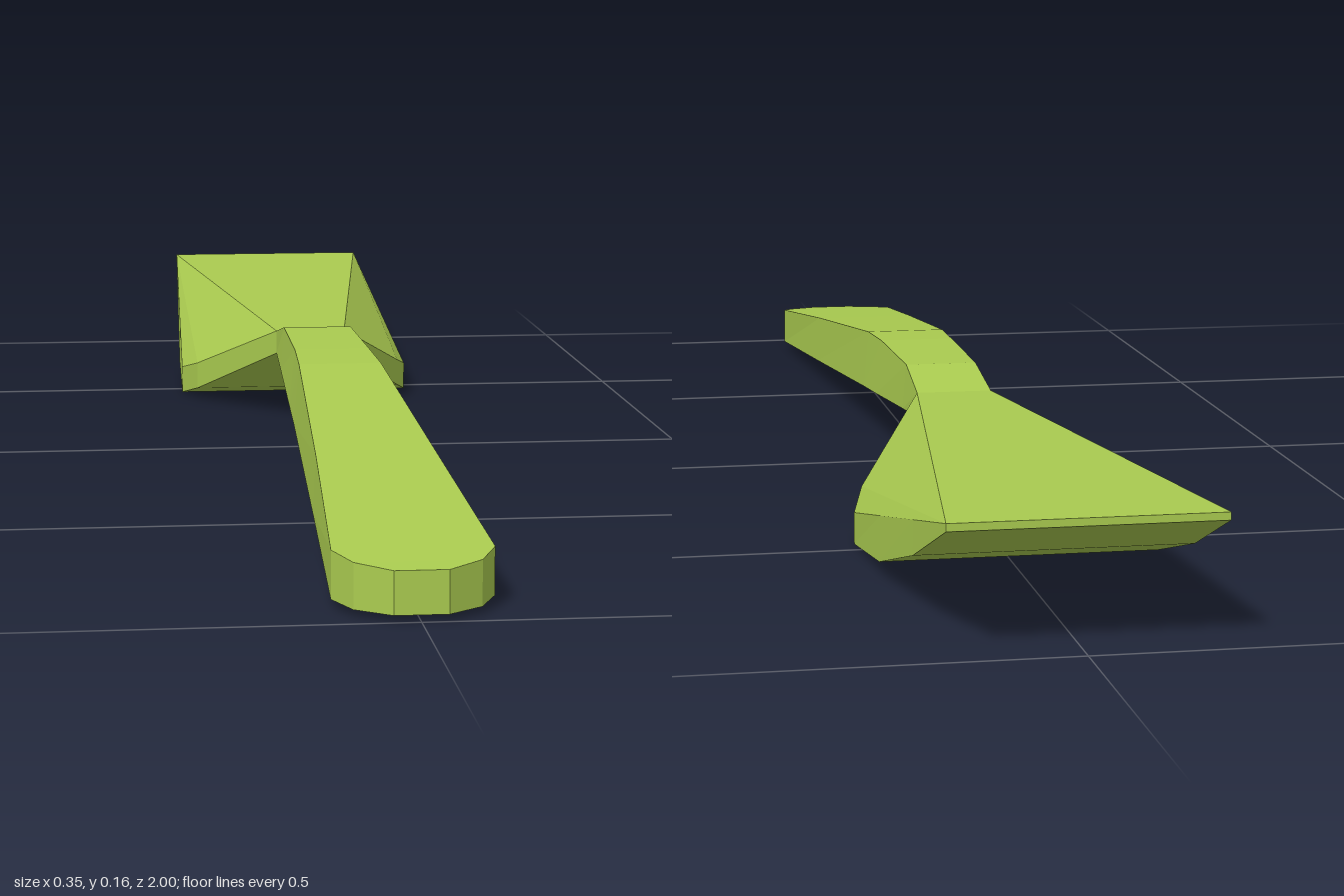
import * as THREE from 'three';

const material = new THREE.MeshStandardMaterial({ color: 0xaacb50, flatShading: true });
const mirror = ([x, y, z]) => [-x, y, z];

// Collects faces; sideFace adds a polygon together with its mirror image
class Faces {
  constructor() { this.positions = []; }
  face(...p) {
    for (let i = 1; i < p.length - 1; i++) this.positions.push(...p[0], ...p[i], ...p[i + 1]);
  }
  sideFace(...p) {
    this.face(...p);
    this.face(...p.map(mirror).reverse());
  }
  // Side walls between a lower and an upper edge
  walls(low, high) {
    for (let i = 0; i < low.length - 1; i++) this.sideFace(low[i], low[i + 1], high[i + 1], high[i]);
  }
  // Strip across from an edge to its mirror image
  span(edge, up) {
    for (let i = 0; i < edge.length - 1; i++) {
      const quad = [edge[i], edge[i + 1], mirror(edge[i + 1]), mirror(edge[i])];
      this.face(...(up ? quad : quad.reverse()));
    }
  }
  mesh(name) {
    const geometry = new THREE.BufferGeometry();
    geometry.setAttribute('position', new THREE.Float32BufferAttribute(this.positions, 3));
    geometry.computeVertexNormals();
    const mesh = new THREE.Mesh(geometry, material);
    mesh.name = name;
    return mesh;
  }
}

// Handle: rounded end, slimmer towards the arched neck
function makeHandle() {
  // z, lower half width, upper half width, lower y, upper y
  const stations = [
    [1.0, 0.03, 0.03, 0.008, 0.057],
    [0.97, 0.07, 0.07, 0.008, 0.06],
    [0.93, 0.09, 0.09, 0.01, 0.065],
    [0.6, 0.077, 0.073, 0.036, 0.105],
    [0.2, 0.062, 0.055, 0.069, 0.15],
    [0.1, 0.059, 0.051, 0.077, 0.154],
    [-0.1, 0.053, 0.048, 0.094, 0.155],
    [-0.2, 0.05, 0.05, 0.102, 0.135],
  ];
  const low = stations.map(([z, w, , y]) => [w, y, z]);
  const high = stations.map(([z, , w, , y]) => [w, y, z]);
  const f = new Faces();
  f.walls(low, high);
  f.span(low, false);
  f.span(high, true);
  f.face(mirror(low[0]), low[0], high[0], mirror(high[0]));
  return f.mesh('handle');
}

// Head: curved underside, flat top and sloping shoulders meeting at the tip
function makeHead() {
  const low = [
    [0.05, 0.102, -0.2], [0.155, 0.018, -0.4], [0.175, 0, -0.47],
    [0.17, 0.02, -0.64], [0.162, 0.075, -0.83], [0.155, 0.143, -1],
  ];
  const neck = [0.05, 0.135, -0.2];
  const shoulder = [0.155, 0.057, -0.4];
  const widest = [0.175, 0.04, -0.47];
  const tip = [0.155, 0.152, -1];
  // The rim climbs straight from the widest point to the tip
  const rise = (t) => widest.map((v, i) => v + (tip[i] - v) * t);
  const rim = [neck, shoulder, widest, rise(0.32), rise(0.68), tip];
  const f = new Faces();
  f.walls(low, rim);
  f.span(low, false);
  f.span([neck, tip], true);
  f.sideFace(neck, shoulder, tip);
  f.sideFace(shoulder, widest, tip);
  f.face(low[5], mirror(low[5]), mirror(tip), tip);
  return f.mesh('head');
}

export function createModel() {
  const model = new THREE.Group();
  model.name = 'spatula';
  model.add(makeHandle(), makeHead());
  return model;
}
